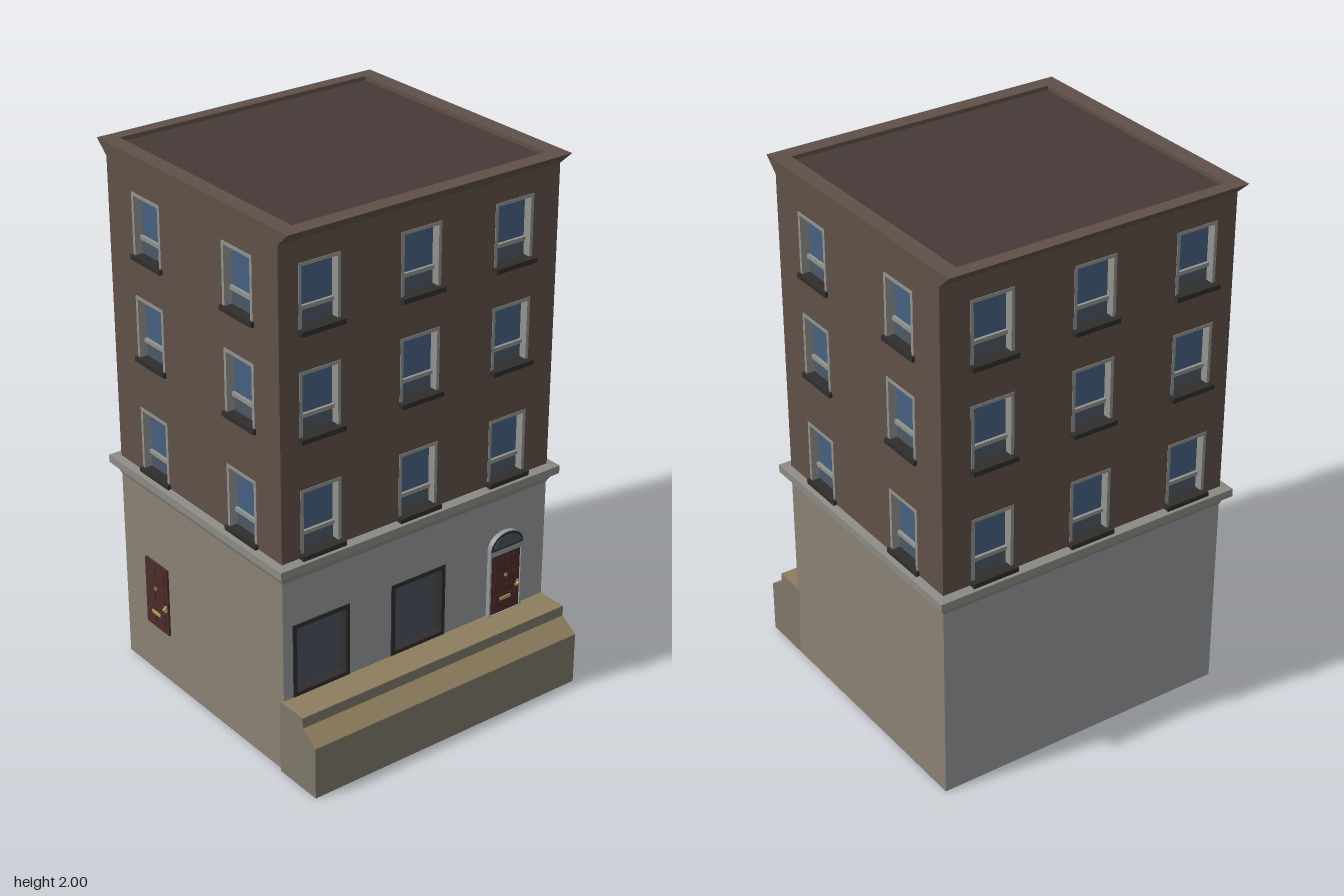
import * as THREE from 'three';

const mat = (color, extra = {}) => new THREE.MeshStandardMaterial({ color, ...extra });
const M = {
  brick: mat(0x5f5048), roof: mat(0x463a36), stucco: mat(0x93979b), tan: mat(0x8a8174),
  cornice: mat(0x8b8a84), stone: mat(0x7d7768), ledge: mat(0x8d7d5e), frame: mat(0x92938f),
  glass: mat(0x46607f), lowGlass: mat(0x4b5865), shopGlass: mat(0x4a525c),
  dark: mat(0x2f2e2d), door: mat(0x4c2c2b), brass: mat(0xb59a5a),
};
const T = 0.05;                                   // wall thickness
const HX = 0.58, ZF = 0.42, ZB = -0.55, ZC = (ZF + ZB) / 2;

function add(parent, name, geometry, material, x = 0, y = 0, z = 0) {
  const mesh = new THREE.Mesh(geometry, material);
  mesh.name = name;
  mesh.position.set(x, y, z);
  parent.add(mesh);
  return mesh;
}
const box = (parent, name, w, h, d, material, x, y, z) =>
  add(parent, name, new THREE.BoxGeometry(w, h, d), material, x, y, z);

// Anticlockwise rectangle points
const rect = (x0, x1, y0, y1) =>
  [[x0, y0], [x1, y0], [x1, y1], [x0, y1]].map(p => new THREE.Vector2(...p));

// Plate with rectangular holes; its front lies at z = 0
function plate(outline, holes, depth) {
  const shape = new THREE.Shape(outline);
  shape.holes = holes.map(h => new THREE.Path(rect(...h)));
  return new THREE.ExtrudeGeometry(shape, { depth, bevelEnabled: false, curveSegments: 12 })
    .translate(0, 0, -depth);
}

// Skin through rectangular levels [y, halfWidth, zBack, zFront]
function rings(levels) {
  const corners = levels.map(([y, x, b, f]) => [[-x, y, f], [x, y, f], [x, y, b], [-x, y, b]]);
  const pos = [];
  for (let i = 0; i < corners.length - 1; i++)
    for (let k = 0; k < 4; k++) {
      const n = (k + 1) % 4, a = corners[i][k], b = corners[i][n];
      const c = corners[i + 1][n], d = corners[i + 1][k];
      pos.push(...a, ...b, ...c, ...a, ...c, ...d);
    }
  const g = new THREE.BufferGeometry();
  g.setAttribute('position', new THREE.Float32BufferAttribute(pos, 3));
  g.computeVertexNormals();
  return g;
}

// Sash window set into a hole [x0, x1, y0, y1]
function sashWindow(parent, [x0, x1, y0, y1], sillDepth) {
  const g = new THREE.Group();
  g.name = 'sashWindow';
  parent.add(g);
  const w = x1 - x0, cx = (x0 + x1) / 2, b = 0.012, bar = y0 + 0.075;
  add(g, 'windowFrame', plate(rect(x0, x1, y0, y1), [[x0 + b, x1 - b, y0 + b, y1 - b]], 0.04),
    M.frame, 0, 0, 0.002);
  box(g, 'upperPane', w, y1 - bar, 0.008, M.glass, cx, (y1 + bar) / 2, -0.034);
  box(g, 'lowerPane', w, bar - y0, 0.008, M.lowGlass, cx, (y0 + bar) / 2, -0.032);
  box(g, 'sashBar', w - b, 0.014, 0.014, M.frame, cx, bar, -0.026);
  box(g, 'windowSill', w + 0.012, 0.018, sillDepth + 0.03, M.dark, cx, y0 + 0.006, sillDepth / 2 - 0.015);
}

// Shop window with a heavy dark frame
function shopWindow(parent, [x0, x1, y0, y1]) {
  const g = new THREE.Group();
  g.name = 'shopWindow';
  parent.add(g);
  const b = 0.016;
  add(g, 'shopFrame', plate(rect(x0, x1, y0, y1), [[x0 + b, x1 - b, y0 + b, y1 - b]], 0.045),
    M.dark, 0, 0, 0.003);
  box(g, 'shopPane', x1 - x0, y1 - y0, 0.008, M.shopGlass, (x0 + x1) / 2, (y0 + y1) / 2, -0.034);
}

// Panelled door leaf with brass fittings, standing on y = 0
function doorLeaf(w, h) {
  const g = new THREE.Group();
  g.name = 'door';
  box(g, 'doorSlab', w, h, 0.012, M.door, 0, h / 2, 0.006);
  for (const s of [-1, 1])
    for (const [y, ph] of [[0.2, 0.2], [0.52, 0.24], [0.82, 0.2]])
      box(g, 'doorPanel', w * 0.32, h * ph, 0.004, M.door, s * w * 0.22, h * y, 0.013);
  box(g, 'mailSlot', w * 0.36, 0.012, 0.005, M.brass, 0, h * 0.24, 0.017);
  box(g, 'lockPlate', 0.014, 0.024, 0.005, M.brass, w * 0.41, h * 0.4, 0.014);
  add(g, 'doorKnob', new THREE.SphereGeometry(0.007, 10, 8), M.brass, w * 0.41, h * 0.4, 0.02);
  add(g, 'doorKnocker', new THREE.TorusGeometry(0.006, 0.002, 6, 12), M.brass, 0, h * 0.62, 0.017);
  return g;
}

// Plate with an elliptical arched top
function archOutline(x0, x1, y0, spring, rise) {
  const s = new THREE.Shape();
  s.moveTo(x0, y0);
  s.lineTo(x1, y0);
  s.lineTo(x1, spring);
  s.absellipse((x0 + x1) / 2, spring, (x1 - x0) / 2, rise, 0, Math.PI, false);
  return s.getPoints(16);
}

export function createModel() {
  const model = new THREE.Group();
  model.name = 'townhouse';

  // Solid core closes the inside
  box(model, 'core', 2 * (HX - T), 1.9, ZF - ZB - 2 * T, M.tan, 0, 0.95, ZC);
  box(model, 'underside', 2 * HX - 0.01, 0.02, ZF - ZB - 0.01, M.dark, 0, 0.011, ZC);

  // Four walls, each built facing +z and then turned
  const storeys = [[0.82, 1.07], [1.25, 1.495], [1.63, 1.87]];
  const shops = [[-0.54, -0.30, 0.285, 0.57], [-0.12, 0.12, 0.285, 0.57]];
  const sideWidth = (ZF - ZB) / 2 - T;
  const walls = [
    { name: 'frontWall', pos: [0, ZF], turn: 0, half: HX, cols: [-0.42, -0.01, 0.385], sill: 0.024, shops },
    { name: 'backWall', pos: [0, ZB], turn: Math.PI, half: HX, cols: [0.42, 0.01, -0.385], sill: 0.024, shops: [] },
    { name: 'rightWall', pos: [HX, ZC], turn: Math.PI / 2, half: sideWidth, cols: [-0.265, 0.255], sill: 0.012, shops: [], side: true },
    { name: 'leftWall', pos: [-HX, ZC], turn: -Math.PI / 2, half: sideWidth, cols: [0.265, -0.255], sill: 0.012, shops: [], side: true },
  ];
  for (const w of walls) {
    const g = new THREE.Group();
    g.name = w.name;
    g.position.set(w.pos[0], 0, w.pos[1]);
    g.rotation.y = w.turn;
    model.add(g);
    const holes = storeys.flatMap(([a, b]) => w.cols.map(c => [c - 0.083, c + 0.083, a, b]));
    add(g, 'upperWall', plate(rect(-w.half, w.half, 0.8, 1.95), holes, T), M.brick);
    add(g, 'lowerWall', plate(rect(-w.half, w.half, 0, 0.8), w.shops, T),
      w.side ? M.tan : [M.stucco, M.tan]);
    holes.forEach(h => sashWindow(g, h, w.sill));
    w.shops.forEach(h => shopWindow(g, h));
  }

  // Cornice between shop and upper storeys
  add(model, 'cornice', rings([
    [0.745, HX, ZB, ZF], [0.765, 0.588, -0.56, 0.43], [0.785, 0.61, -0.585, 0.455],
    [0.815, 0.61, -0.585, 0.455], [0.82, 0.57, -0.54, 0.41],
  ]), M.cornice);

  // Roof edge flares to front and back, with a sunken deck
  add(model, 'roofEdge', rings([
    [1.95, HX, ZB, ZF], [2, HX, -0.605, 0.475],
    [2, 0.52, -0.555, 0.415], [1.985, 0.52, -0.555, 0.415],
  ]), M.brick);
  box(model, 'roofDeck', 1.04, 0.025, 0.97, M.roof, 0, 1.9725, -0.07);

  // Stone plinth along the front
  const profile = [[-0.41, 0], [-0.41, 0.285], [-0.54, 0.285], [-0.54, 0.245], [-0.61, 0.2], [-0.61, 0]]
    .map(p => new THREE.Vector2(...p)).reverse();
  const plinth = new THREE.ExtrudeGeometry(new THREE.Shape(profile), { depth: 1.17, bevelEnabled: false });
  plinth.rotateY(Math.PI / 2);
  add(model, 'plinth', plinth, M.stone, -0.59, 0, 0);
  const slope = box(model, 'plinthSlope', 1.168, 0.002, 0.083, M.ledge, -0.005, 0.2225, 0.575);
  slope.rotation.x = Math.atan2(0.045, 0.07);
  box(model, 'plinthTop', 1.168, 0.002, 0.118, M.ledge, -0.005, 0.285, 0.48);

  // Front entrance with arched fanlight
  const entrance = new THREE.Group();
  entrance.name = 'entrance';
  entrance.position.set(0.39, 0, ZF);
  model.add(entrance);
  add(entrance, 'doorSurround', plate(archOutline(-0.075, 0.075, 0.285, 0.555, 0.06),
    [[-0.068, 0.068, 0.287, 0.53]], 0.02), M.stucco, 0, 0, 0.018);
  add(entrance, 'fanlightRim', plate(archOutline(-0.072, 0.072, 0.553, 0.56, 0.053), [], 0.01),
    M.dark, 0, 0, 0.021);
  add(entrance, 'fanlight', plate(archOutline(-0.063, 0.063, 0.56, 0.562, 0.042), [], 0.01),
    M.shopGlass, 0, 0, 0.023);
  const front = doorLeaf(0.136, 0.245);
  front.position.set(0, 0.286, 0);
  entrance.add(front);

  // Plain door on the left-hand side wall
  const side = doorLeaf(0.14, 0.27);
  side.name = 'sideDoor';
  side.position.set(-HX + 0.004, 0.2, -0.34);
  side.rotation.y = -Math.PI / 2;
  model.add(side);

  return model;
}
